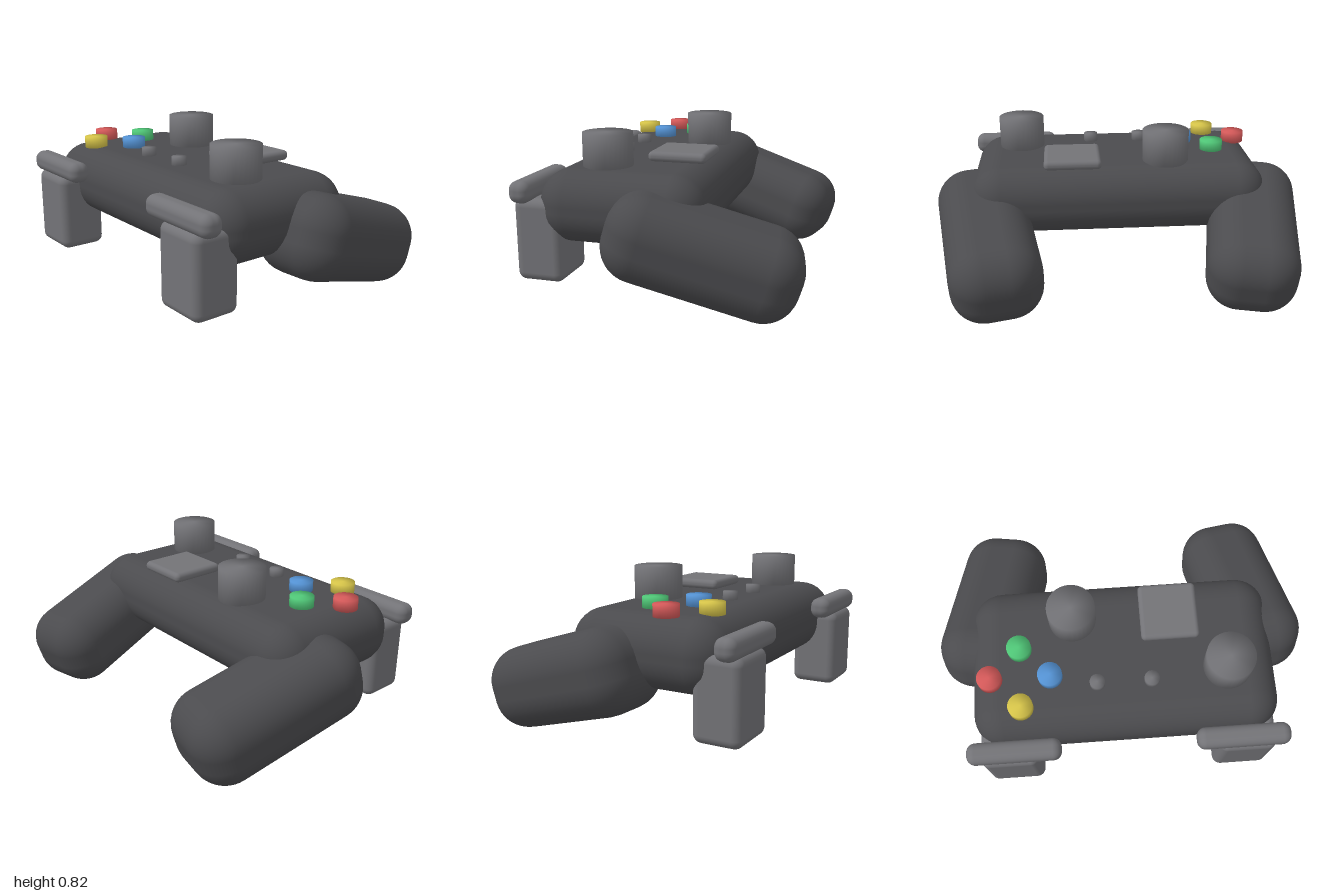
import * as THREE from 'three';
import { mergeVertices } from 'three/addons/utils/BufferGeometryUtils.js';
import { RoundedBoxGeometry } from 'three/addons/geometries/RoundedBoxGeometry.js';

const material = (name, color) => {
  const m = new THREE.MeshStandardMaterial({ color });
  m.name = name;
  return m;
};

export function createModel() {
  const model = new THREE.Group();
  model.name = 'gameController';

  const shell = material('dark shell', 0x4b4b4e);
  const grey = material('grey controls', 0x737377);
  const red = material('red', 0xd65a5a);
  const green = material('green', 0x50c878);
  const blue = material('blue', 0x5594d6);
  const yellow = material('yellow', 0xd8c64a);

  const add = (name, geometry, mat, x, y, z) => {
    const mesh = new THREE.Mesh(geometry, mat);
    mesh.name = name;
    mesh.position.set(x, y, z);
    model.add(mesh);
    return mesh;
  };

  const box = (name, mat, [w, h, d], radius, [x, y, z], segments = 4) =>
    add(name, new RoundedBoxGeometry(w, h, d, segments, radius), mat, x, y, z);

  // Round knob standing on the deck, with normals blended over the rim
  const deck = 0.655;
  const knob = (name, mat, radius, top, x, z) => {
    let g = new THREE.CylinderGeometry(radius, radius, top - deck, 32);
    g.deleteAttribute('uv');
    g.deleteAttribute('normal');
    g = mergeVertices(g);
    g.computeVertexNormals();
    add(name, g, mat, x, (top + deck) / 2, z);
  };

  // Central body
  box('body', shell, [1.6, 0.365, 0.84], 0.165, [0, 0.478, 0.19], 5);

  // Mirrored grips, triggers and bumpers
  for (const [side, s] of [['left', 1], ['right', -1]]) {
    const grip = box(side + 'Grip', shell, [0.475, 0.425, 0.95], 0.175, [s * 0.705, 0.305, -0.23], 5);
    grip.rotation.set(-0.3, s * 0.18, 0);
    box(side + 'Trigger', grey, [0.3, 0.42, 0.25], 0.045, [s * 0.62, 0.31, 0.592]);
    box(side + 'Bumper', grey, [0.485, 0.11, 0.11], 0.045, [s * 0.589, 0.56, 0.657]);
  }

  // Thumbsticks
  knob('rightThumbstick', grey, 0.125, 0.827, -0.255, -0.007);
  knob('leftThumbstick', grey, 0.125, 0.827, 0.532, 0.305);

  // Direction pad
  box('directionPad', grey, [0.305, 0.052, 0.305], 0.024, [0.252, 0.686, -0.005]);

  // Small menu buttons
  knob('menuButtonRight', grey, 0.039, 0.703, -0.143, 0.355);
  knob('menuButtonLeft', grey, 0.039, 0.703, 0.137, 0.355);

  // Diamond of coloured buttons
  knob('redButton', red, 0.063, 0.715, -0.692, 0.302);
  knob('greenButton', green, 0.063, 0.715, -0.537, 0.147);
  knob('blueButton', blue, 0.063, 0.715, -0.383, 0.302);
  knob('yellowButton', yellow, 0.063, 0.715, -0.537, 0.457);

  return model;
}
